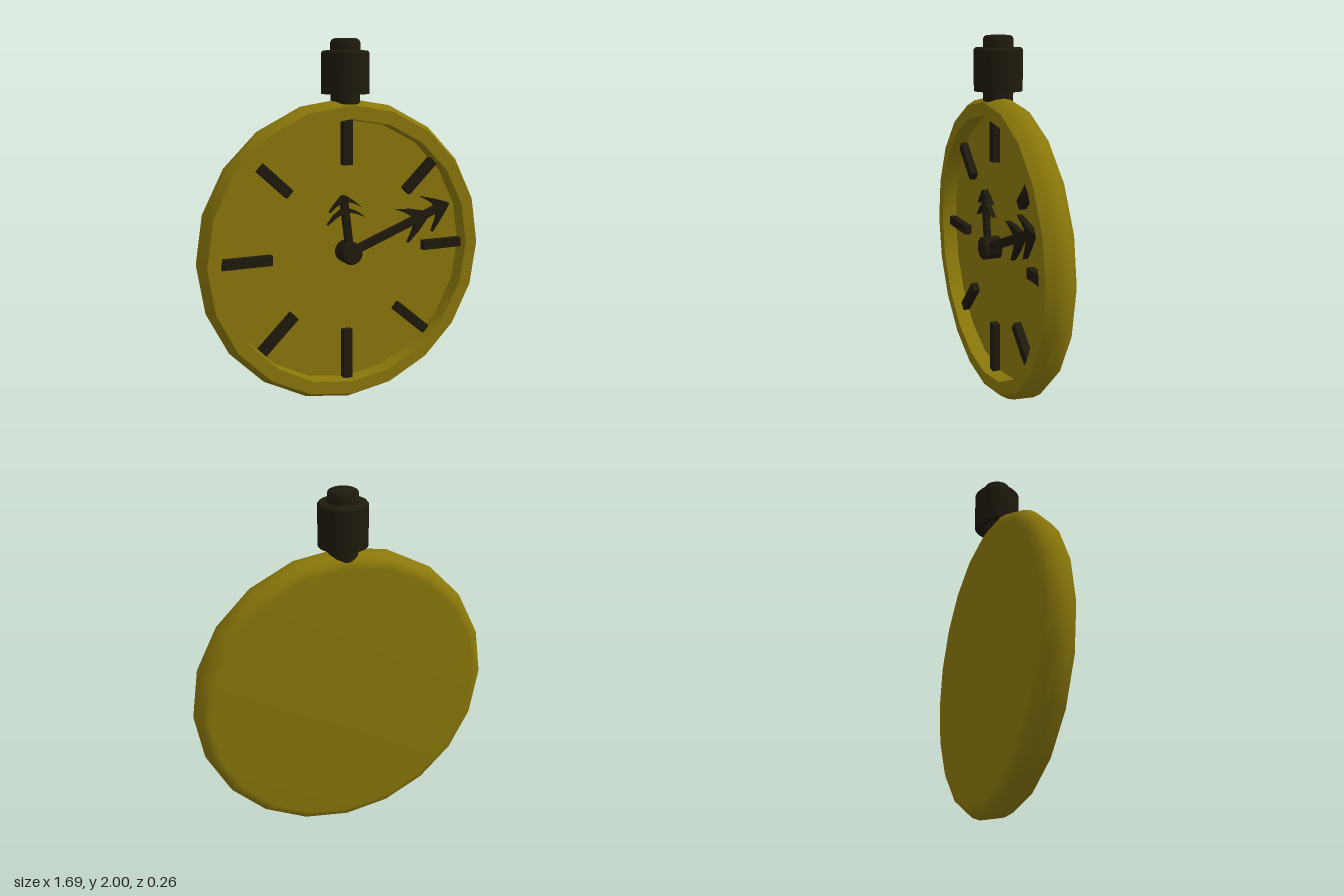
import * as THREE from 'three';
import { toCreasedNormals } from 'three/addons/utils/BufferGeometryUtils.js';

const CY = 0.845; // height of the dial centre
const gold = new THREE.MeshStandardMaterial({ color: 0x8a780a });
const dark = new THREE.MeshStandardMaterial({ color: 0x1f1a0d });

function lathe(profile, sides) {
  const g = new THREE.LatheGeometry(profile.map(p => new THREE.Vector2(...p)), sides);
  return toCreasedNormals(g, 0.65);
}

function add(parent, name, geometry, material) {
  const mesh = new THREE.Mesh(geometry, material);
  mesh.name = name;
  parent.add(mesh);
  return mesh;
}

// Flat hand pointing along +x; the upper half outline is mirrored below
function handGeometry(half) {
  const lower = half.slice(0, -1).reverse().map(([x, y]) => [x, -y]);
  const shape = new THREE.Shape([...half, ...lower].map(p => new THREE.Vector2(...p)));
  return new THREE.ExtrudeGeometry(shape, { depth: 0.03, bevelEnabled: false });
}

export function createModel() {
  const watch = new THREE.Group();
  watch.name = 'pocketWatch';

  // Case: bulging side, flat back, raised rim and recessed face in one profile
  const body = add(watch, 'case', lathe([
    [0, -0.087], [0.765, -0.087], [0.785, -0.086], [0.812, -0.072], [0.834, -0.04], [0.843, 0],
    [0.836, 0.04], [0.808, 0.087], [0.735, 0.087], [0.731, 0], [0, 0],
  ], 20), gold);
  body.rotation.x = Math.PI / 2;
  body.position.y = CY;

  // Crown: neck, wide knob and button
  add(watch, 'crown', lathe([
    [0, 1.64], [0.08, 1.64], [0.08, 1.71], [0.13, 1.71], [0.13, 1.925], [0.12, 1.937],
    [0.08, 1.937], [0.08, 1.98], [0.074, 1.993], [0.06, 2], [0, 2],
  ], 32), dark);

  // Hour markers: inner and outer end of each bar
  const bars = [
    [0, 1.33, 0, 1.58], [0.365, 1.165, 0.535, 1.33], [0.48, 0.842, 0.73, 0.842],
    [0.31, 0.5, 0.505, 0.335], [0, 0.4, 0, 0.115], [-0.315, 0.52, -0.505, 0.335],
    [-0.44, 0.842, -0.73, 0.842], [-0.335, 1.19, -0.51, 1.35],
  ];
  const markers = new THREE.Group();
  markers.name = 'hourMarkers';
  watch.add(markers);
  for (const [x0, y0, x1, y1] of bars) {
    const length = Math.hypot(x1 - x0, y1 - y0);
    const bar = add(markers, 'hourMarker', new THREE.BoxGeometry(length, 0.054, 0.05), dark);
    bar.position.set((x0 + x1) / 2, (y0 + y1) / 2, 0.015);
    bar.rotation.z = Math.atan2(y1 - y0, x1 - x0);
  }

  // Hands with two barbed arrowheads each
  const minute = add(watch, 'minuteHand', handGeometry([
    [0, 0.022], [0.425, 0.022], [0.395, 0.058], [0.346, 0.103], [0.43, 0.068], [0.505, 0.022],
    [0.58, 0.022], [0.56, 0.055], [0.51, 0.112], [0.59, 0.06], [0.655, 0.012], [0.665, 0],
  ]), dark);
  minute.position.set(0, CY + 0.005, 0.047);
  minute.rotation.z = 0.363;

  const hour = add(watch, 'hourHand', handGeometry([
    [0, 0.02], [0.225, 0.02], [0.21, 0.06], [0.18, 0.113], [0.225, 0.065], [0.25, 0.02],
    [0.283, 0.02], [0.272, 0.05], [0.245, 0.092], [0.288, 0.05], [0.32, 0.012], [0.325, 0],
  ]), dark);
  hour.position.set(0, CY + 0.005, 0.047);
  hour.rotation.z = 1.695;

  // Centre hub
  const hub = add(watch, 'hub', lathe([
    [0, -0.01], [0.063, -0.01], [0.063, 0.093], [0.055, 0.101], [0, 0.101],
  ], 24), dark);
  hub.rotation.x = Math.PI / 2;
  hub.position.y = CY + 0.005;

  return watch;
}
